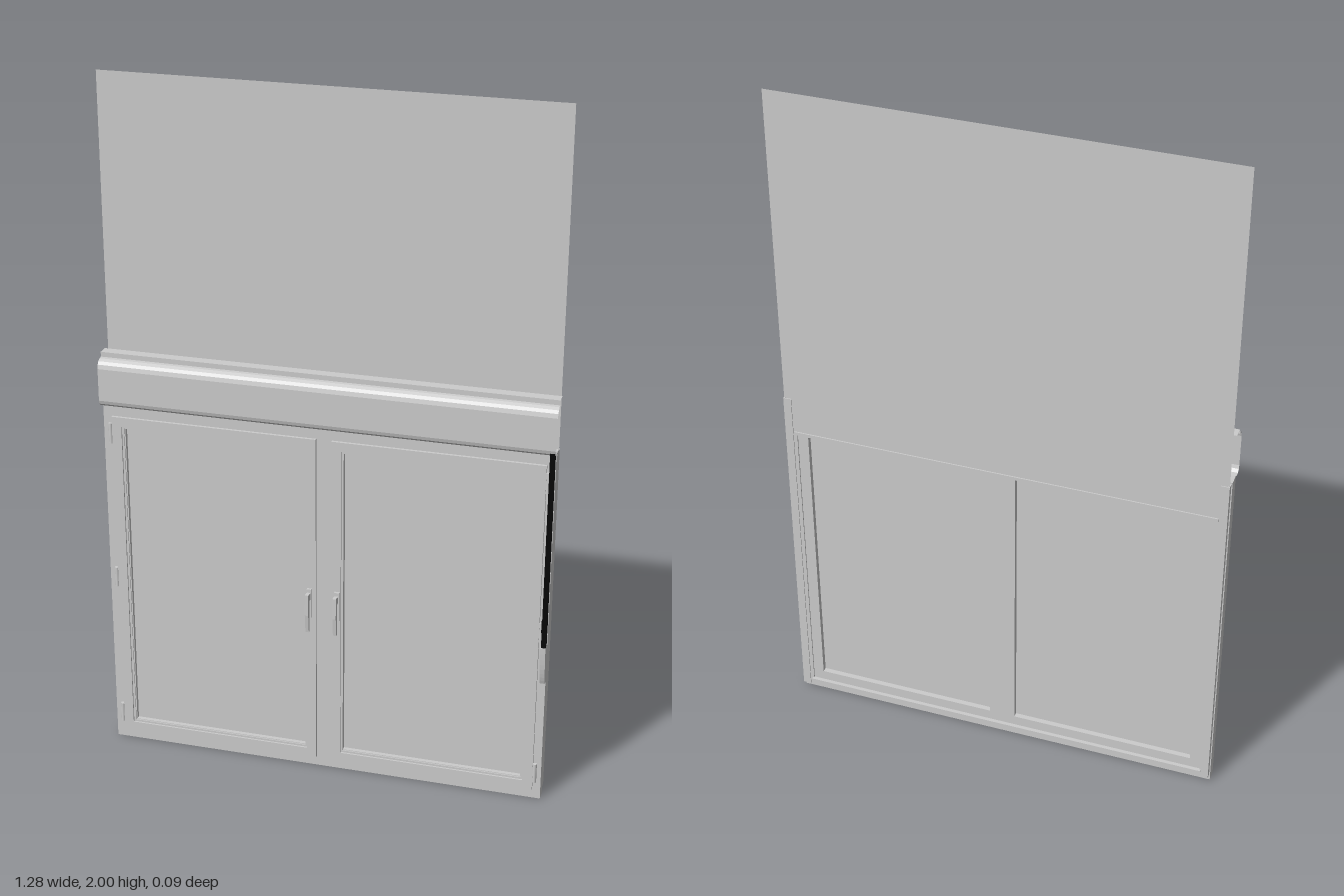
import * as THREE from 'three';

export function createModel() {
  const model = new THREE.Group();
  const grey = new THREE.MeshStandardMaterial({ color: 0xcccccc, side: THREE.DoubleSide });
  grey.name = 'light grey';
  const black = new THREE.MeshStandardMaterial({ color: 0x050505 });
  black.name = 'black';

  const add = (name, geometry, material = grey) => {
    const mesh = new THREE.Mesh(geometry, material);
    mesh.name = name;
    model.add(mesh);
    return mesh;
  };
  // box given by its limits on each axis
  const box = (name, x0, x1, y0, y1, z0, z1, material) => {
    const mesh = add(name, new THREE.BoxGeometry(Math.abs(x1 - x0), y1 - y0, z1 - z0), material);
    mesh.position.set((x0 + x1) / 2, (y0 + y1) / 2, (z0 + z1) / 2);
    return mesh;
  };
  const trace = (path, [x0, x1, y0, y1]) => {
    path.moveTo(x0, y0);
    path.lineTo(x1, y0);
    path.lineTo(x1, y1);
    path.lineTo(x0, y1);
    path.closePath();
    return path;
  };
  // rectangular plate with rectangular openings
  const frame = (name, outer, holes, z0, z1) => {
    const shape = trace(new THREE.Shape(), outer);
    holes.forEach(h => shape.holes.push(trace(new THREE.Path(), h)));
    const geometry = new THREE.ExtrudeGeometry(shape, { depth: z1 - z0, bevelEnabled: false });
    geometry.translate(0, 0, z0);
    return add(name, geometry);
  };
  // profile in (z, y) swept along x
  const sweep = (name, points, x0, x1, closed) => {
    const pts = closed ? [...points, points[0]] : points;
    const pos = [];
    for (let i = 0; i < pts.length - 1; i++) {
      const [az, ay] = pts[i], [bz, by] = pts[i + 1];
      pos.push(x0, ay, az, x0, by, bz, x1, by, bz, x0, ay, az, x1, by, bz, x1, ay, az);
    }
    const geometry = new THREE.BufferGeometry();
    geometry.setAttribute('position', new THREE.Float32BufferAttribute(pos, 3));
    geometry.computeVertexNormals();
    return add(name, geometry);
  };

  // fixed outer frame with two openings and a central mullion
  frame('outerFrame', [-0.638, 0.635, 0, 1.07],
    [[-0.575, -0.038, 0.065, 1.0], [0.038, 0.575, 0.065, 1.0]], -0.029, 0.004);

  for (const s of [-1, 1]) {
    const span = (a, b, y0, y1) => (s > 0 ? [a, b, y0, y1] : [-b, -a, y0, y1]);

    // opening sash, inner bead and pane
    frame('sash', span(0.022, 0.612, 0.03, 1.036), [span(0.05, 0.584, 0.057, 1.009)], 0.004, 0.012);
    frame('glazingBead', span(0.05, 0.584, 0.057, 1.009), [span(0.056, 0.578, 0.063, 1.003)], -0.01, 0.007);
    box('pane', s * 0.036, s * 0.58, 0.06, 1.006, -0.014, -0.008);

    // hinges on the outer edge
    for (const y of [0.085, 0.535, 0.985]) {
      const hinge = add('hinge', new THREE.CylinderGeometry(0.006, 0.006, 0.06, 10));
      hinge.position.set(s * 0.617, y, 0.008);
    }

    // handle: rose, neck and lever
    box('handleRose', s * 0.033, s * 0.047, 0.49, 0.58, 0.012, 0.02);
    box('handleNeck', s * 0.035, s * 0.045, 0.55, 0.57, 0.02, 0.034);
    sweep('handleLever', [[0.03, 0.573], [0.044, 0.573], [0.045, 0.51], [0.039, 0.455],
      [0.031, 0.455], [0.034, 0.51]], s * 0.035, s * 0.045, true);
    for (const x of [0.035, 0.045]) {
      const side = new THREE.Shape([[0.03, 0.573], [0.044, 0.573], [0.045, 0.51], [0.039, 0.455],
        [0.031, 0.455], [0.034, 0.51]].map(([z, y]) => new THREE.Vector2(-z, y)));
      const cheek = add('handleLeverSide', new THREE.ShapeGeometry(side));
      cheek.rotation.y = Math.PI / 2;
      cheek.position.x = s * x;
    }

    // shutter guide channel: outer web and two lips
    box('guideWeb', s * 0.629, s * 0.635, 0.02, 1.065, -0.045, -0.029);
    box('guideBackLip', s * 0.612, s * 0.635, 0.02, 1.065, -0.0455, -0.043);
    box('guideFrontLip', s * 0.606, s * 0.635, 0.02, 1.065, -0.033, -0.029);
  }

  // lowered shutter curtain and its end bar
  const curtain = add('shutterCurtain', new THREE.PlaneGeometry(1.268, 1.05));
  curtain.position.set(0, 1.475, -0.041);
  box('curtainEndBar', -0.61, 0.61, 0.945, 0.955, -0.0445, -0.038);

  // rear sill
  box('rearSill', -0.61, 0.61, 0.02, 0.034, -0.04, -0.029);

  // open-ended shutter housing with a rounded front
  const housing = [[-0.03, 1.222], [0, 1.222], [0, 1.208], [0.01, 1.207], [0.02, 1.202], [0.026, 1.194],
    [0.029, 1.182], [0.029, 1.088], [0.026, 1.078], [0.018, 1.071], [0.004, 1.07]];
  sweep('shutterHousing', housing, -0.64, 0.638);

  // pull strap: two bands running into a winder
  box('strapFront', 0.622, 0.635, 0.5, 1.08, 0.027, 0.03, black);
  box('strapBack', 0.622, 0.635, 0.5, 1.08, 0.014, 0.017, black);
  const winderShape = new THREE.Shape();
  winderShape.moveTo(-0.004, 0.38);
  winderShape.lineTo(-0.014, 0.38);
  winderShape.quadraticCurveTo(-0.03, 0.42, -0.032, 0.5);
  winderShape.lineTo(-0.004, 0.5);
  winderShape.closePath();
  const winder = add('strapWinder',
    new THREE.ExtrudeGeometry(winderShape, { depth: 0.015, bevelEnabled: false, curveSegments: 8 }));
  winder.rotation.y = Math.PI / 2;
  winder.position.x = 0.62;
  box('strapGuide', 0.62, 0.635, 0.545, 0.58, 0.012, 0.026, black);

  return model;
}
